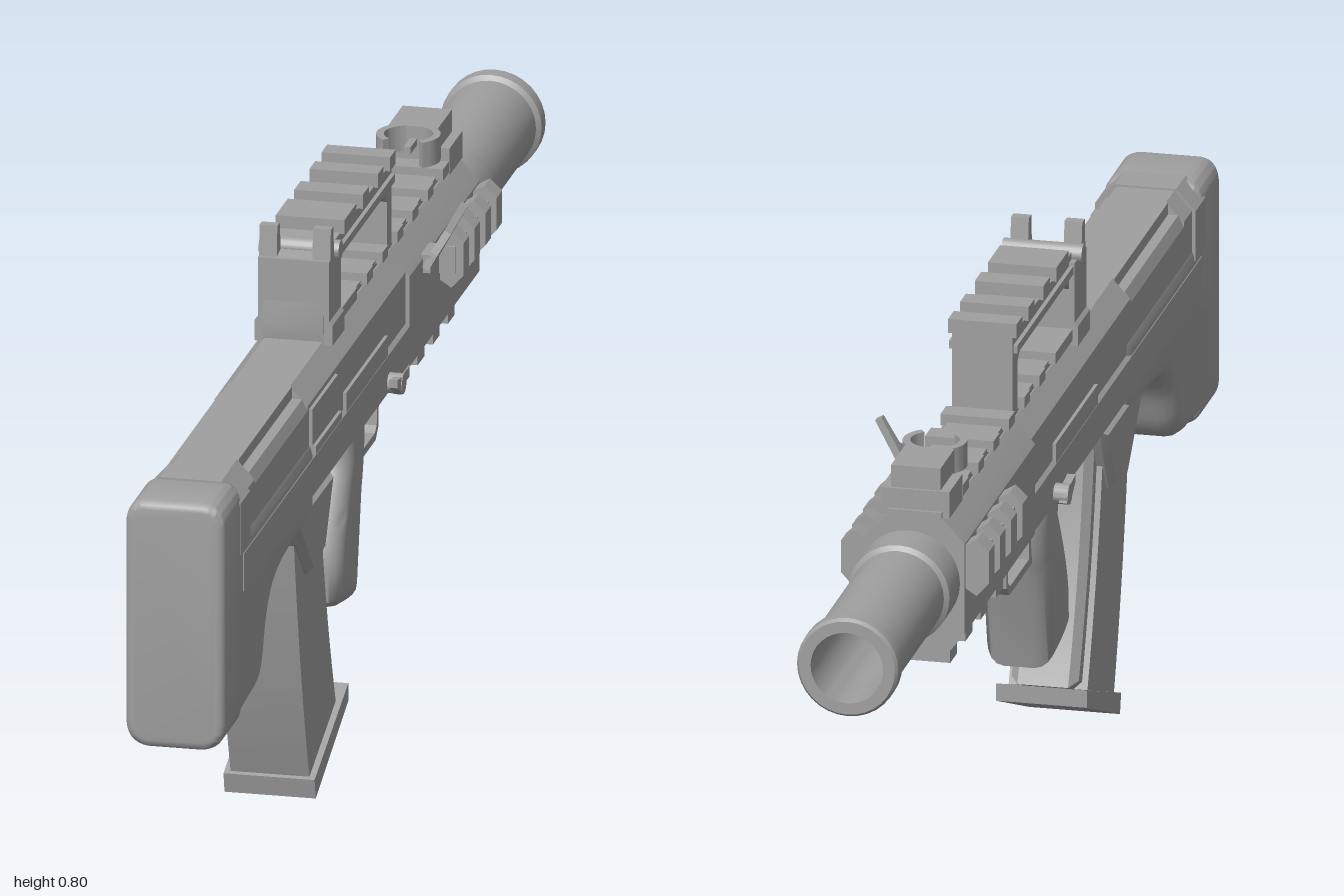
import * as THREE from 'three';
import { toCreasedNormals } from 'three/addons/utils/BufferGeometryUtils.js';

export function createModel() {
  const model = new THREE.Group();
  model.name = 'compactRifle';
  // everything is symmetric about the bore, which sits slightly off the origin
  const gun = new THREE.Group();
  gun.name = 'rifle';
  gun.position.x = -0.0125;
  model.add(gun);
  const grey = new THREE.MeshStandardMaterial({ color: 0xa0a0a0, side: THREE.DoubleSide });
  grey.name = 'gunmetalGrey';

  function add(name, geometry, crease = 0.6) {
    const mesh = new THREE.Mesh(toCreasedNormals(geometry, crease), grey);
    mesh.name = name;
    gun.add(mesh);
    return mesh;
  }
  function box(name, x0, x1, y0, y1, z0, z1) {
    const g = new THREE.BoxGeometry(x1 - x0, y1 - y0, z1 - z0);
    return add(name, g.translate((x0 + x1) / 2, (y0 + y1) / 2, (z0 + z1) / 2));
  }
  const toShape = (pts) => new THREE.Shape(pts.map(([a, b]) => new THREE.Vector2(a, b)));
  // side outline in (z, y), given as points or a shape, extruded across the width
  function slab(name, outline, width, bevel = 0, segments = 1, x = 0) {
    const shape = Array.isArray(outline) ? toShape(outline) : outline;
    const g = new THREE.ExtrudeGeometry(shape, {
      depth: width - 2 * bevel, bevelEnabled: bevel > 0, bevelSize: bevel,
      bevelThickness: bevel, bevelOffset: -bevel, bevelSegments: segments, curveSegments: 10,
    });
    g.translate(0, 0, bevel - width / 2).rotateY(-Math.PI / 2).translate(x, 0, 0);
    return add(name, g, segments > 1 ? 0.8 : 0.5);
  }
  // half cross-section in (x, y), mirrored and extruded along z
  function prism(name, half, z0, z1) {
    const mirrored = half.slice().reverse().map(([x, y]) => [-x, y]);
    const g = new THREE.ExtrudeGeometry(toShape([...half, ...mirrored]), { depth: z1 - z0, bevelEnabled: false });
    return add(name, g.translate(0, 0, z0), 0.3);
  }
  // revolved profile of [radius, distance towards the muzzle]
  function turned(name, profile, y) {
    const g = new THREE.LatheGeometry(profile.map(([r, d]) => new THREE.Vector2(r, d)), 32);
    return add(name, g.rotateX(-Math.PI / 2).translate(0, y, 0), 0.5);
  }

  // receiver, with shallow steps cut in the top edges of the stock
  const lower = [[0.068, 0.53], [0.0735, 0.525], [0.0735, 0.47], [0.06, 0.45]];
  const plain = [[0.042, 0.635], [0.068, 0.607], ...lower];
  prism('receiver', plain, -0.15, 0.46);
  prism('stockTop', [[0.045, 0.635], [0.045, 0.617], [0.06, 0.617], [0.068, 0.6], ...lower], 0.46, 0.79);
  prism('stockRear', plain, 0.79, 0.88);
  prism('handguard', [[0.042, 0.635], [0.068, 0.607], [0.0735, 0.6], [0.0735, 0.465], [0.05, 0.435]], -0.585, -0.15);

  // lower stock with its sweeping belly
  const stock = toShape([[0.95, 0.56], [0.95, 0.272], [0.80, 0.283]]);
  stock.bezierCurveTo(0.71, 0.29, 0.745, 0.36, 0.685, 0.4);
  stock.quadraticCurveTo(0.66, 0.415, 0.60, 0.42);
  stock.lineTo(0.42, 0.43);
  stock.lineTo(0.42, 0.56);
  slab('lowerStock', stock, 0.145, 0.03, 4);

  // butt pad: rounded rectangle with softened rear edge
  const pad = new THREE.Shape();
  pad.moveTo(-0.04, 0.265);
  pad.lineTo(0.04, 0.265);
  pad.quadraticCurveTo(0.0725, 0.27, 0.0725, 0.305);
  pad.lineTo(0.0725, 0.6);
  pad.quadraticCurveTo(0.07, 0.635, 0.04, 0.635);
  pad.lineTo(-0.04, 0.635);
  pad.quadraticCurveTo(-0.07, 0.635, -0.0725, 0.6);
  pad.lineTo(-0.0725, 0.305);
  pad.quadraticCurveTo(-0.0725, 0.27, -0.04, 0.265);
  const padGeo = new THREE.ExtrudeGeometry(pad, {
    depth: 0.095, bevelSize: 0.012, bevelThickness: 0.012, bevelOffset: -0.012, bevelSegments: 3,
  });
  add('buttPad', padGeo.translate(0, 0, 0.893), 0.7);
  prism('buttBand', [[0.045, 0.638], [0.0735, 0.607], [0.0735, 0.53], [0.06, 0.53]], 0.84, 0.9);

  // side seams and ejection cover
  for (const s of [-1, 1]) {
    slab('sideSeam', [[0.24, 0.525], [0.24, 0.555], [-0.02, 0.555], [-0.02, 0.525]], 0.006, 0, 1, s * 0.07);
  }
  slab('ejectionCover', [[0.45, 0.532], [0.29, 0.532], [0.29, 0.6], [0.45, 0.6]], 0.008, 0, 1, 0.069);
  box('coverHinge', 0.066, 0.078, 0.533, 0.545, 0.29, 0.45);

  // magazine well, curved magazine and floor plate
  slab('magazineWell', [[0.54, 0.46], [0.505, 0.415], [0.436, 0.347], [0.356, 0.357], [0.325, 0.41], [0.30, 0.46]], 0.142, 0.01);
  const magazine = new THREE.Shape();
  magazine.moveTo(0.505, 0.44);
  magazine.quadraticCurveTo(0.465, 0.2, 0.403, 0.03);
  magazine.lineTo(0.24, 0.092);
  magazine.quadraticCurveTo(0.31, 0.26, 0.34, 0.44);
  slab('magazine', magazine, 0.115);
  const spine = new THREE.Shape();
  spine.moveTo(0.36, 0.44);
  spine.quadraticCurveTo(0.32, 0.26, 0.25, 0.088);
  spine.lineTo(0.207, 0.105);
  spine.quadraticCurveTo(0.28, 0.26, 0.308, 0.44);
  slab('magazineSpine', spine, 0.098, 0.012);
  slab('magazineFloorPlate', [[0.41, 0.03], [0.403, 0], [0.2, 0.08], [0.2, 0.106]], 0.133);

  // pistol grip
  const grip = toShape([[0.12, 0.47], [0.115, 0.41]]);
  grip.quadraticCurveTo(0.18, 0.31, 0.182, 0.26);
  grip.lineTo(0.18, 0.215);
  grip.quadraticCurveTo(0.16, 0.195, 0.06, 0.185);
  grip.lineTo(0.022, 0.34);
  grip.quadraticCurveTo(0, 0.39, 0, 0.47);
  slab('pistolGrip', grip, 0.1, 0.028, 4);

  // trigger guard and trigger
  const guard = toShape([[0.03, 0.46], [0.03, 0.36], [-0.125, 0.36], [-0.142, 0.375], [-0.15, 0.46]]);
  guard.holes.push(toShape([[0.0, 0.45], [-0.005, 0.372], [-0.12, 0.372], [-0.132, 0.38], [-0.138, 0.45]]));
  slab('triggerGuard', guard, 0.06);
  const trigger = toShape([[-0.055, 0.46], [-0.085, 0.46]]);
  trigger.quadraticCurveTo(-0.055, 0.42, -0.078, 0.378);
  trigger.quadraticCurveTo(-0.035, 0.41, -0.055, 0.46);
  slab('trigger', trigger, 0.022);

  // selector levers on both sides
  for (const s of [-1, 1]) {
    const hub = new THREE.CylinderGeometry(0.015, 0.015, 0.03, 16).rotateZ(Math.PI / 2);
    add('selectorHub', hub.translate(s * 0.08, 0.483, -0.025));
    slab('selectorLever', [[0.012, 0.5], [0.012, 0.488], [-0.02, 0.468], [-0.04, 0.474], [-0.035, 0.492]], 0.012, 0, 1, s * 0.088);
  }

  // top rail
  box('topRail', -0.04, 0.04, 0.63, 0.645, -0.585, 0.2);
  for (let i = 0; i < 6; i++) {
    const z = -i * 0.0945 - 0.005;
    box('topRailTooth', -0.05, 0.05, 0.64, 0.657, z - 0.018, z + 0.018);
  }
  box('topRailTooth', -0.05, 0.05, 0.64, 0.657, 0.075, 0.18);

  // carry handle with rail and open-notch rear sight
  slab('carryHandle', [[0.258, 0.63], [0.262, 0.66], [0.25, 0.755], [0.2, 0.765], [-0.165, 0.765], [-0.165, 0.64],
    [-0.135, 0.64], [-0.135, 0.715], [-0.12, 0.73], [0.17, 0.73], [0.185, 0.715], [0.185, 0.63]], 0.088);
  prism('rearSightBase', [[0.052, 0.755], [0.052, 0.665], [0.057, 0.66], [0.057, 0.63]], 0.185, 0.258);
  for (const s of [-1, 1]) {
    slab('rearSightEar', [[0.253, 0.73], [0.247, 0.8], [0.232, 0.8], [0.226, 0.755], [0.19, 0.74], [0.19, 0.73]], 0.026, 0, 1, s * 0.039);
    box('handleRib', s * 0.046 - 0.004, s * 0.046 + 0.004, 0.738, 0.75, -0.16, 0.19);
  }
  const pin = new THREE.CylinderGeometry(0.014, 0.014, 0.117, 16).rotateZ(Math.PI / 2);
  add('rearSightPin', pin.translate(0, 0.76, 0.213));
  for (const [a, b] of [[0.08, 0.155], [0.0, 0.04], [-0.09, -0.055], [-0.165, -0.13]]) {
    box('handleRailTooth', -0.05, 0.05, 0.763, 0.784, a, b);
  }

  // folded front sight
  box('frontSightFoot', -0.05, 0.05, 0.635, 0.675, -0.58, -0.5);
  box('frontSightBlock', -0.036, 0.036, 0.67, 0.708, -0.575, -0.49);
  const hood = new THREE.Shape();
  hood.absarc(0, 0, 0.046, -0.9, Math.PI + 0.9, false);
  hood.absarc(0, 0, 0.035, Math.PI + 0.9, -0.9, true);
  const hoodGeo = new THREE.ExtrudeGeometry(hood, { depth: 0.038, bevelEnabled: false, curveSegments: 20 });
  add('frontSightHood', hoodGeo.rotateX(-Math.PI / 2).translate(0, 0.67, -0.457));
  box('frontSightPost', -0.005, 0.005, 0.68, 0.69, -0.49, -0.45);

  // side accessory rails
  for (const s of [-1, 1]) {
    box('sideRail', s * 0.084 - 0.013, s * 0.084 + 0.013, 0.545, 0.585, -0.58, -0.335);
    const tooth = [[0.07, 0.535], [0.09, 0.522], [0.108, 0.542], [0.108, 0.59], [0.09, 0.607], [0.07, 0.595]];
    for (let i = 0; i < 4; i++) {
      const g = new THREE.ExtrudeGeometry(toShape(tooth.map(([x, y]) => [s * x, y])), { depth: 0.034, bevelEnabled: false });
      add('sideRailTooth', g.translate(0, 0, -0.58 + i * 0.0685), 0.3);
    }
  }

  // bottom accessory rail
  box('bottomRail', -0.035, 0.035, 0.42, 0.44, -0.55, -0.19);
  for (let i = 0; i < 4; i++) {
    const z = -0.25 - i * 0.094;
    box('bottomRailTooth', -0.045, 0.045, 0.408, 0.428, z - 0.021, z + 0.021);
  }

  // slanted charging handle on one side
  const lever = slab('chargingHandle', [[-0.03, 0], [0.03, 0], [0.025, 0.025], [-0.008, 0.05], [-0.012, 0.096], [-0.024, 0.096], [-0.026, 0.05]], 0.011);
  lever.position.set(0.077, 0.585, -0.262);
  lever.rotation.z = -0.5;
  box('chargingHandleRoot', 0.055, 0.084, 0.578, 0.605, -0.29, -0.235);

  // barrel neck and hollow suppressor
  turned('barrelNeck', [[0.05, 0.56], [0.05, 0.62]], 0.552);
  turned('suppressor', [[0, 0.605], [0.066, 0.605], [0.074, 0.615], [0.074, 0.68], [0.067, 0.685], [0.067, 0.965],
    [0.074, 0.97], [0.074, 0.995], [0.07, 1], [0.053, 1], [0.053, 0.72], [0, 0.72]], 0.552);
  return model;
}
